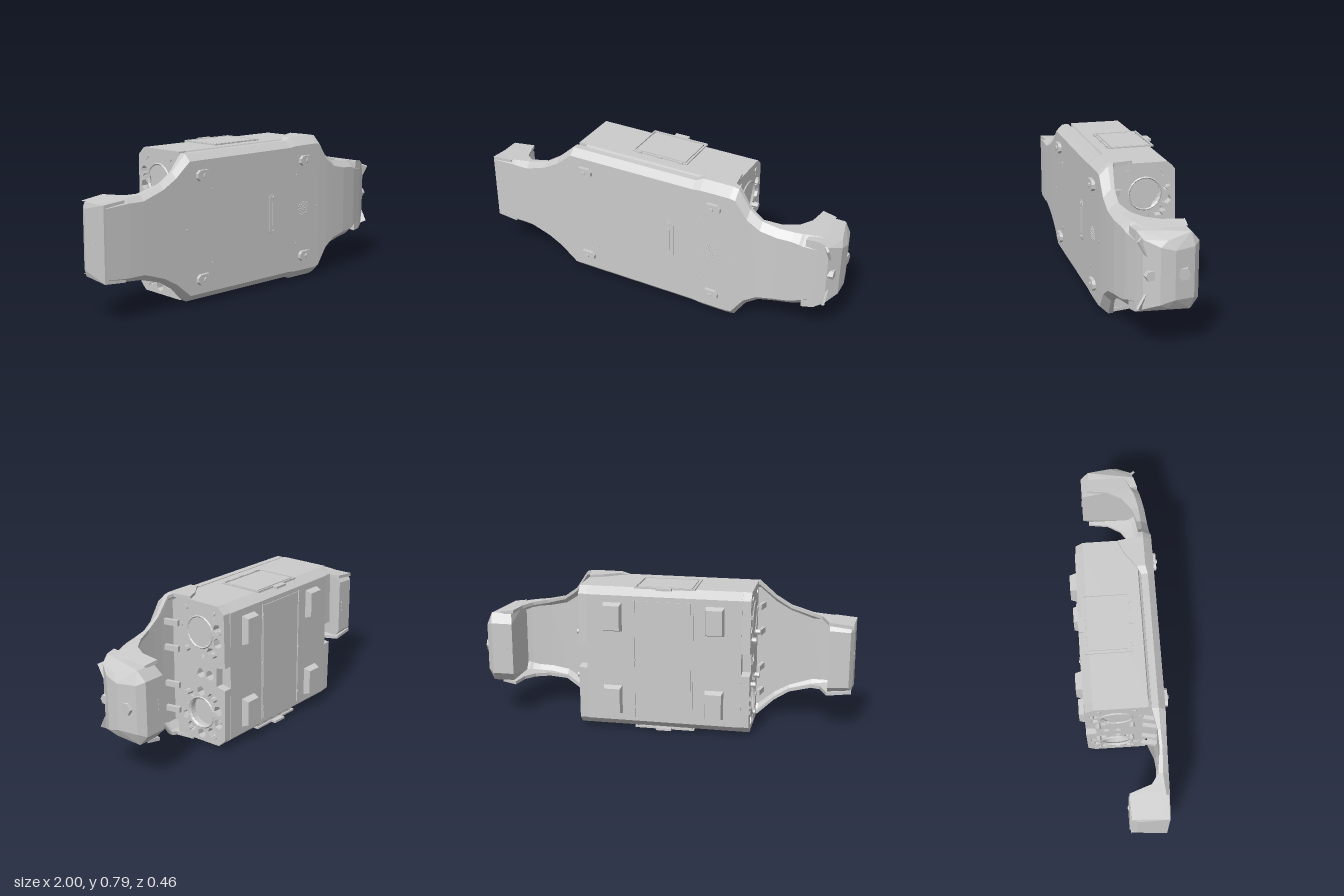
import * as THREE from 'three';
import { ConvexGeometry } from 'three/addons/geometries/ConvexGeometry.js';

const mat = new THREE.MeshStandardMaterial({ color: 0xcccccc, flatShading: true });
const MID = 0.4; // height of the long axis

function add(parent, name, geo, x = 0, y = 0, z = 0) {
  const m = new THREE.Mesh(geo, mat);
  m.name = name;
  m.position.set(x, y, z);
  parent.add(m);
  return m;
}
const box = (w, h, d) => new THREE.BoxGeometry(w, h, d);
const hexBolt = (r, d, axis) => {
  const g = new THREE.CylinderGeometry(r * 0.85, r, d, 6);
  if (axis === 'x') g.rotateZ(-Math.PI / 2);
  if (axis === 'z') g.rotateX(Math.PI / 2);
  return g;
};

// Front shell: C-shaped sections [x, half height, front z, rim z, chamfer] lofted along x
function shellGeometry() {
  const stations = [
    [-0.99, 0.185, 0.2, 0.01, 0.015], [-0.86, 0.2, 0.207, 0.005, 0.02],
    [-0.82, 0.204, 0.208, 0.12, 0.025], [-0.77, 0.21, 0.209, 0.155, 0.03],
    [-0.65, 0.245, 0.21, 0.17, 0.025], [-0.57, 0.295, 0.21, 0.165, 0.03],
    [-0.48, 0.375, 0.21, 0.14, 0.035], [0.24, 0.377, 0.21, 0.14, 0.035],
    [0.28, 0.392, 0.21, 0.12, 0.045], [0.36, 0.393, 0.21, 0.06, 0.045],
    [0.43, 0.393, 0.21, 0.03, 0.045], [0.445, 0.393, 0.21, 0.13, 0.045],
    [0.475, 0.387, 0.21, 0.14, 0.045], [0.54, 0.29, 0.208, 0.15, 0.04],
    [0.61, 0.24, 0.204, 0.15, 0.035], [0.7, 0.222, 0.197, 0.12, 0.035],
    [0.77, 0.216, 0.185, 0.07, 0.035], [0.81, 0.212, 0.178, 0, 0.04],
    [0.825, 0.21, 0.174, -0.11, 0.045], [0.9, 0.2, 0.15, -0.1, 0.05],
  ];
  const t = 0.018, pos = [], idx = [], n = 12;
  for (const [x, h, zf, zb, c] of stations) {
    const half = [[h, zb], [h, zf - c], [h - c, zf]];
    const inner = [[h - c - t / 2, zf - t], [h - t, zf - c - t / 4], [h - t, zb]];
    const flip = ([y, z]) => [-y, z];
    const loop = [...half.map(flip), ...half.slice().reverse(),
      ...inner.slice().reverse(), ...inner.map(flip)];
    for (const [y, z] of loop) pos.push(x, MID + y, z);
  }
  for (let i = 0; i < stations.length - 1; i++) {
    for (let j = 0; j < n; j++) {
      const a = i * n + j, b = i * n + (j + 1) % n;
      idx.push(a, a + n, b, b, a + n, b + n);
    }
  }
  const g = new THREE.BufferGeometry();
  g.setAttribute('position', new THREE.Float32BufferAttribute(pos, 3));
  g.setIndex(idx);
  const flat = g.toNonIndexed();
  flat.computeVertexNormals();
  return flat;
}

// Hull from [x, half height, z], mirrored about the long axis
const mirroredHull = (pts) => new ConvexGeometry(pts.flatMap(([x, h, z]) =>
  [new THREE.Vector3(x, MID + h, z), new THREE.Vector3(x, MID - h, z)]));

// Extrude a (-z, y) shape along +x
function extrudeX(shape, depth) {
  const g = new THREE.ExtrudeGeometry(shape, { depth, bevelEnabled: false, curveSegments: 14 });
  return g.rotateY(Math.PI / 2);
}
const polyPath = (pts, Cls = THREE.Shape) => new Cls(pts.map(([a, b]) => new THREE.Vector2(a, b)));

// Pierced end plate: two large openings, each ringed by cells, honeycomb between
function latticeGeometry(depth) {
  const s = polyPath([[-0.125, 0.02], [0.15, 0.022], [0.19, 0.06], [0.195, 0.34], [0.14, 0.35],
    [0.14, 0.45], [0.195, 0.46], [0.19, 0.74], [0.15, 0.778], [-0.125, 0.78]]);
  const cell = (u, y, r, turn) => {
    const sides = 6, pts = [];
    for (let k = 0; k < sides; k++) {
      const a = turn + k * Math.PI * 2 / sides;
      pts.push([u + r * Math.cos(a), y + r * Math.sin(a)]);
    }
    s.holes.push(polyPath(pts, THREE.Path));
  };
  const centres = [0.18, 0.62];
  for (const cy of centres) {
    const hole = new THREE.Path();
    hole.absellipse(0.035, cy, 0.083, 0.083, 0, Math.PI * 2, true);
    s.holes.push(hole);
    for (let k = 0; k < 10; k++) {
      const a = (k + 0.5) * Math.PI / 5;
      cell(0.035 + 0.118 * Math.cos(a), cy + 0.118 * Math.sin(a), 0.027, a);
    }
  }
  for (let row = -2; row <= 2; row++) {
    for (let col = 0; col < 5; col++) {
      const u = -0.09 + col * 0.062 + (row % 2 ? 0.031 : 0), y = MID + row * 0.054;
      const clear = centres.every((cy) => Math.hypot(u - 0.035, y - cy) > 0.175);
      const nearNotch = u > 0.105 && Math.abs(y - MID) < 0.085;
      if (clear && u < 0.16 && !nearNotch) cell(u, y, 0.028, Math.PI / 6);
    }
  }
  return extrudeX(s, depth);
}

// Rounded slab lying in the xy plane
function padGeometry(w, h, d) {
  const c = Math.min(w, h) * 0.3, x = w / 2, y = h / 2;
  const s = polyPath([[-x + c, -y], [x - c, -y], [x, -y + c], [x, y - c],
    [x - c, y], [-x + c, y], [-x, y - c], [-x, -y + c]]);
  return new THREE.ExtrudeGeometry(s, { depth: d, bevelEnabled: false });
}

// Tapered block standing on the back face
function footGeometry() {
  const g = box(0.1, 0.155, 0.035), p = g.attributes.position;
  for (let i = 0; i < p.count; i++) {
    if (p.getZ(i) < 0) p.setXY(i, p.getX(i) * 0.85, p.getY(i) * 0.84);
  }
  g.computeVertexNormals();
  return g;
}

export function createModel() {
  const root = new THREE.Group();
  root.name = 'armouredChassis';

  add(root, 'frontShell', shellGeometry());

  // Bumpers
  add(root, 'leftBumper', mirroredHull([
    [0.84, 0.205, 0.165], [0.9, 0.2, 0.15], [0.84, 0.19, -0.1], [0.95, 0.19, -0.1],
    [0.825, 0.14, -0.142], [0.94, 0.14, -0.142], [0.975, 0.125, -0.11], [1, 0.12, -0.01],
    [0.995, 0.14, 0.06], [0.95, 0.17, 0.13], [0.98, 0.165, 0.02]]));
  add(root, 'rightBumper', mirroredHull([
    [-1, 0.188, 0.198], [-0.88, 0.198, 0.2], [-0.865, 0.19, 0.03], [-0.985, 0.18, 0.03],
    [-0.865, 0.155, 0.002], [-0.975, 0.15, 0.002], [-0.995, 0.15, 0.04]]));
  add(root, 'leftBumperBolt', hexBolt(0.038, 0.02, 'x'), 0.985, MID, -0.055);
  add(root, 'leftBumperLowerBolt', hexBolt(0.03, 0.03, 'x'), 0.965, MID, 0.1);
  add(root, 'rightBumperBolt', hexBolt(0.03, 0.01, 'x'), -0.993, MID, 0.1);
  for (const s of [-1, 1]) {
    const slot = add(root, 'bumperSlotCover', box(0.012, 0.09, 0.035), 0.945, MID + s * 0.13, 0.125);
    slot.rotation.set(s * 0.5, 0.7, 0);
  }
  for (const dy of [-0.025, 0, 0.025]) {
    add(root, 'bumperRivet', hexBolt(0.006, 0.006, 'z'), -0.89, MID + dy, 0);
    add(root, 'bumperRivet', hexBolt(0.006, 0.006, 'z'), 0.86, MID + dy, -0.142);
  }

  // Main case
  const body = polyPath([[-0.19, 0.07], [-0.13, 0.03], [-0.125, 0.02], [0.15, 0.022], [0.195, 0.06],
    [0.195, 0.74], [0.15, 0.778], [-0.125, 0.78], [-0.13, 0.77], [-0.19, 0.73]]);
  add(root, 'case', extrudeX(body, 0.82), -0.43);
  for (const s of [-1, 1]) {
    const end = s > 0 ? 0.435 : -0.475;
    add(root, 'endLattice', latticeGeometry(0.045), s > 0 ? 0.39 : -0.475);
    for (const cy of [0.18, 0.62]) {
      const ring = new THREE.TorusGeometry(0.083, 0.009, 4, 20).rotateY(Math.PI / 2);
      add(root, 'portRing', ring, end - s * 0.004, cy, -0.035);
      for (const [dz, dy] of [[0.09, 0.115], [-0.09, 0.115], [0.125, 0.02], [-0.125, 0.02]]) {
        const y = cy + (cy > MID ? dy : -dy);
        add(root, 'endStud', hexBolt(0.014, 0.03, 'x'), end - s * 0.01, y, -0.035 + dz);
      }
    }
    for (const z of [-0.13, 0.045]) {
      for (const y of [0.28, 0.52]) {
        add(root, 'endBolt', hexBolt(0.016, 0.04, 'x'), end + s * 0.005, y, z);
      }
    }
    for (const y of [0.16, 0.3, 0.5, 0.64]) {
      const clip = add(root, 'shellClip', box(0.02, 0.03, 0.08), end + s * 0.02, y, 0.14);
      clip.rotation.y = s * 0.2;
    }
  }

  // Side hatches, with a raised frame and hinges, on top and bottom
  for (const s of [-1, 1]) {
    const y = MID + s * 0.381;
    for (const x of [-0.178, 0.133]) add(root, 'hatchFrame', box(0.008, 0.01, 0.235), x, y, -0.05);
    for (const z of [-0.167, 0.067]) add(root, 'hatchFrame', box(0.319, 0.01, 0.008), -0.022, y, z);
    add(root, 'hatchPanel', box(0.285, 0.008, 0.205), -0.022, y, -0.05);
    for (const x of [-0.14, -0.02, 0.1]) add(root, 'hatchHinge', box(0.025, 0.016, 0.014), x, y, 0.07);
    add(root, 'hatchLatch', box(0.08, 0.012, 0.03), -0.022, y - s * 0.001, -0.182);
  }

  // Back face: feet, panel and edge strips
  for (const x of [-0.29, 0.25]) {
    for (const y of [0.175, 0.625]) add(root, 'backFoot', footGeometry(), x, y, -0.2125);
  }
  add(root, 'backPanel', box(0.29, 0.63, 0.006), -0.02, MID, -0.196);
  for (const x of [-0.175, 0.135]) {
    add(root, 'backPanelStrip', box(0.008, 0.64, 0.008), x, MID, -0.197);
    for (const y of [0.14, 0.4, 0.66]) add(root, 'backPanelStud', hexBolt(0.008, 0.01, 'z'), x, y, -0.2);
  }

  // Front face: pads, handle plate, speaker dots and screws
  for (const x of [-0.395, 0.355]) {
    for (const y of [0.135, 0.665]) {
      add(root, 'frontPad', padGeometry(0.09, 0.054, 0.022), x, y, 0.206);
      add(root, 'frontPadBolt', hexBolt(0.012, 0.008, 'z'), x, y, 0.23);
    }
  }
  add(root, 'handlePlate', padGeometry(0.058, 0.22, 0.004), 0.108, MID, 0.209);
  add(root, 'handleBar', box(0.014, 0.13, 0.006), 0.108, MID, 0.215);
  for (const dy of [-0.092, 0.092]) {
    add(root, 'handleBolt', hexBolt(0.008, 0.006, 'z'), 0.108, MID + dy, 0.215);
  }
  for (let ring = 0; ring < 4; ring++) {
    const count = Math.max(1, ring * 6);
    for (let k = 0; k < count; k++) {
      const a = k * Math.PI * 2 / count, r = ring * 0.012;
      add(root, 'speakerDot', hexBolt(0.004, 0.004, 'z'), 0.345 + r * Math.cos(a), MID + r * Math.sin(a), 0.211);
    }
  }
  for (const [x, dy] of [[-0.5, 0], [0.46, 0], [-0.33, 0.19], [-0.33, -0.19], [0.29, 0.19], [0.29, -0.19]]) {
    add(root, 'frontScrew', hexBolt(0.006, 0.004, 'z'), x, MID + dy, 0.211);
  }
  return root;
}
